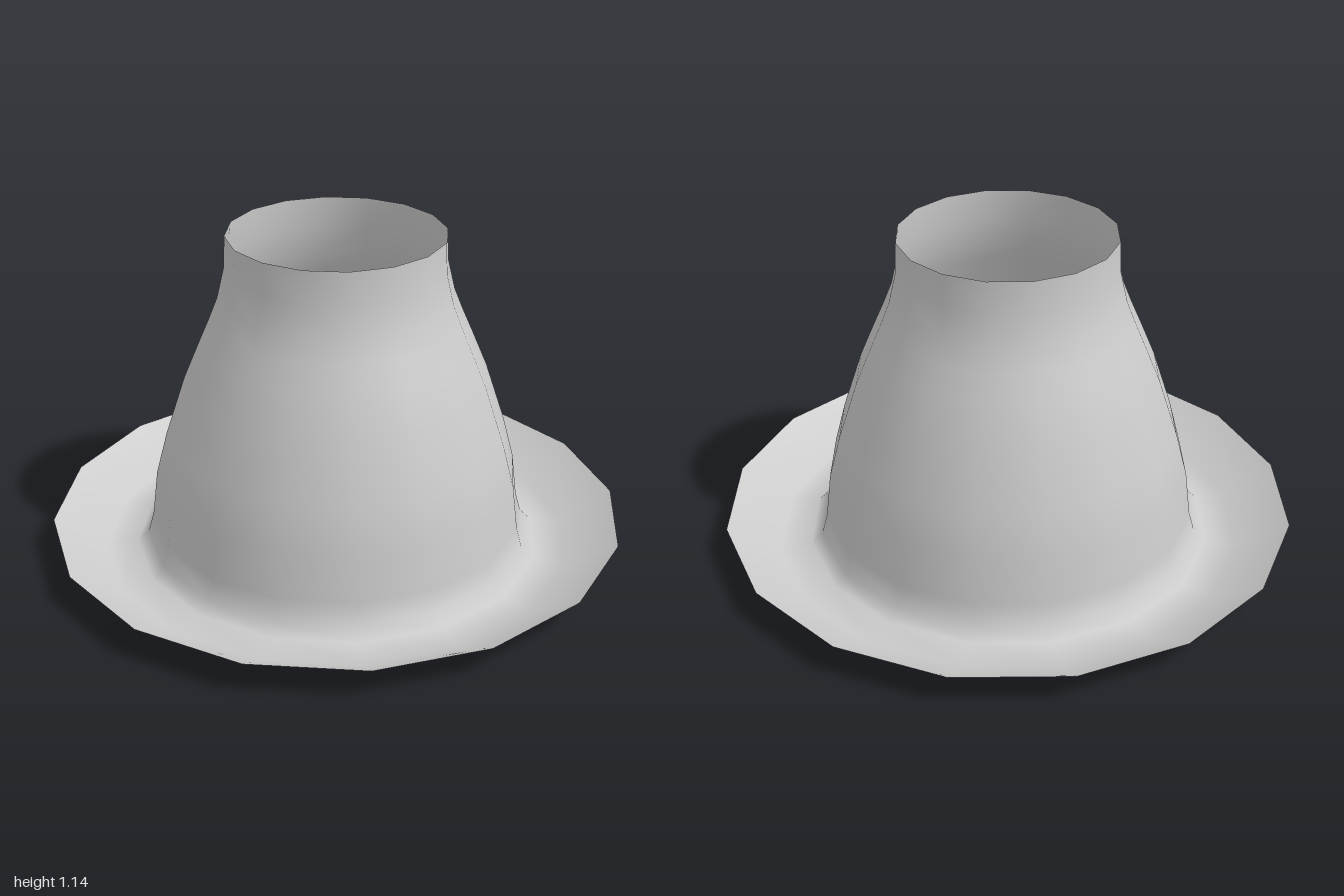
import * as THREE from 'three';

export function createModel() {
  const group = new THREE.Group();
  const material = new THREE.MeshStandardMaterial({ color: 0xcccccc, side: THREE.DoubleSide });

  // Profile (radius, height) from the brim's rim, through its trough, up to the open neck
  const profile = [
    [1, 0.11], [0.82, 0], [0.71, 0.01], [0.67, 0.05],
    [0.65, 0.12], [0.63, 0.28], [0.59, 0.43], [0.52, 0.64],
    [0.465, 0.77], [0.43, 0.85], [0.4, 0.925], [0.375, 1.03], [0.37, 1.14],
  ].map(([r, y]) => new THREE.Vector2(r, y));

  // One thin, open shell with sixteen sides
  const shell = new THREE.Mesh(new THREE.LatheGeometry(profile, 16), material);
  shell.name = 'flaredCollar';
  group.add(shell);
  return group;
}
